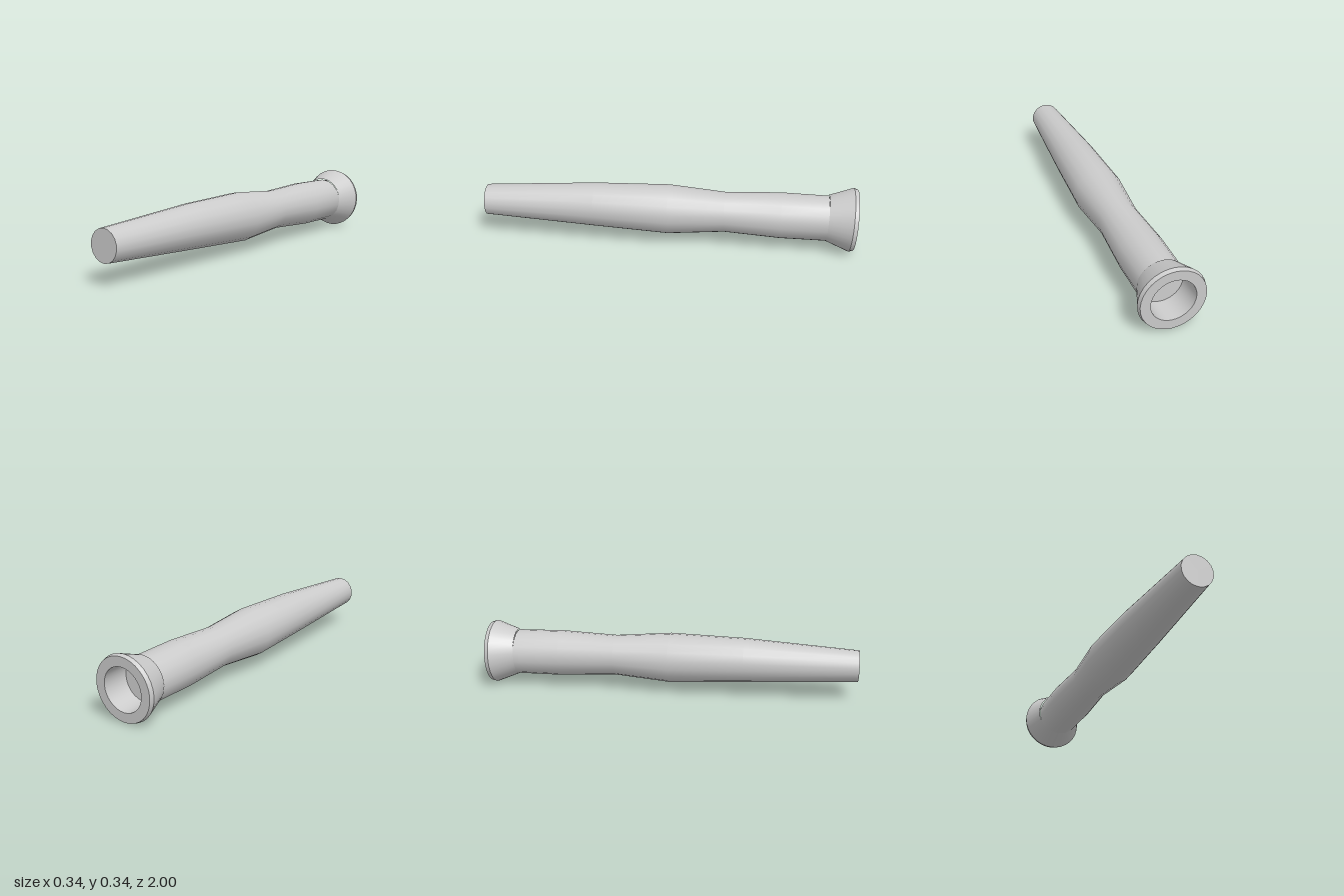
import * as THREE from 'three';
import { toCreasedNormals } from 'three/addons/utils/BufferGeometryUtils.js';

const material = new THREE.MeshStandardMaterial({ color: 0xcccccc });

// Lathe whose axis runs along z; points are [radius, z]
function latheZ(points, segments) {
  const profile = points.map(([r, z]) => new THREE.Vector2(r, z));
  return new THREE.LatheGeometry(profile, segments).rotateX(Math.PI / 2);
}

function addPart(group, name, geometry) {
  const mesh = new THREE.Mesh(toCreasedNormals(geometry, 0.45), material);
  mesh.name = name;
  group.add(mesh);
  return mesh;
}

export function createModel() {
  const group = new THREE.Group();
  group.name = 'flaredHandle';

  // Contoured grip: sections as [z, radius, centre height]
  const sections = [
    [-0.85, 0.121, 0.174],
    [-0.6, 0.123, 0.179],
    [-0.3, 0.108, 0.184],
    [0, 0.133, 0.186],
    [0.4, 0.118, 0.194],
    [1, 0.083, 0.195],
  ];
  const profile = sections.map(([z, r]) => [r, z]);
  const grip = latheZ([[0, -0.85], ...profile, [0, 1]], 18);

  // Lift each ring to its own centre so the grip bends slightly
  const position = grip.attributes.position;
  for (let i = 0; i < position.count; i++) {
    const z = position.getZ(i);
    const section = sections.find((s) => Math.abs(s[0] - z) < 1e-4);
    position.setXYZ(i, position.getX(i) + 0.002, position.getY(i) + section[2], z);
  }
  addPart(group, 'grip', grip);

  // Hollow flared end with a chamfered lip, tipped slightly
  const flare = latheZ([
    [0.11, 0.16],
    [0.113, 0],
    [0.164, 0],
    [0.17, 0.022],
    [0.123, 0.147],
  ], 32);
  const flareMesh = addPart(group, 'flaredSocket', flare);
  flareMesh.rotation.x = -0.044;
  flareMesh.position.set(0, 0.17, -0.9925);

  return group;
}
